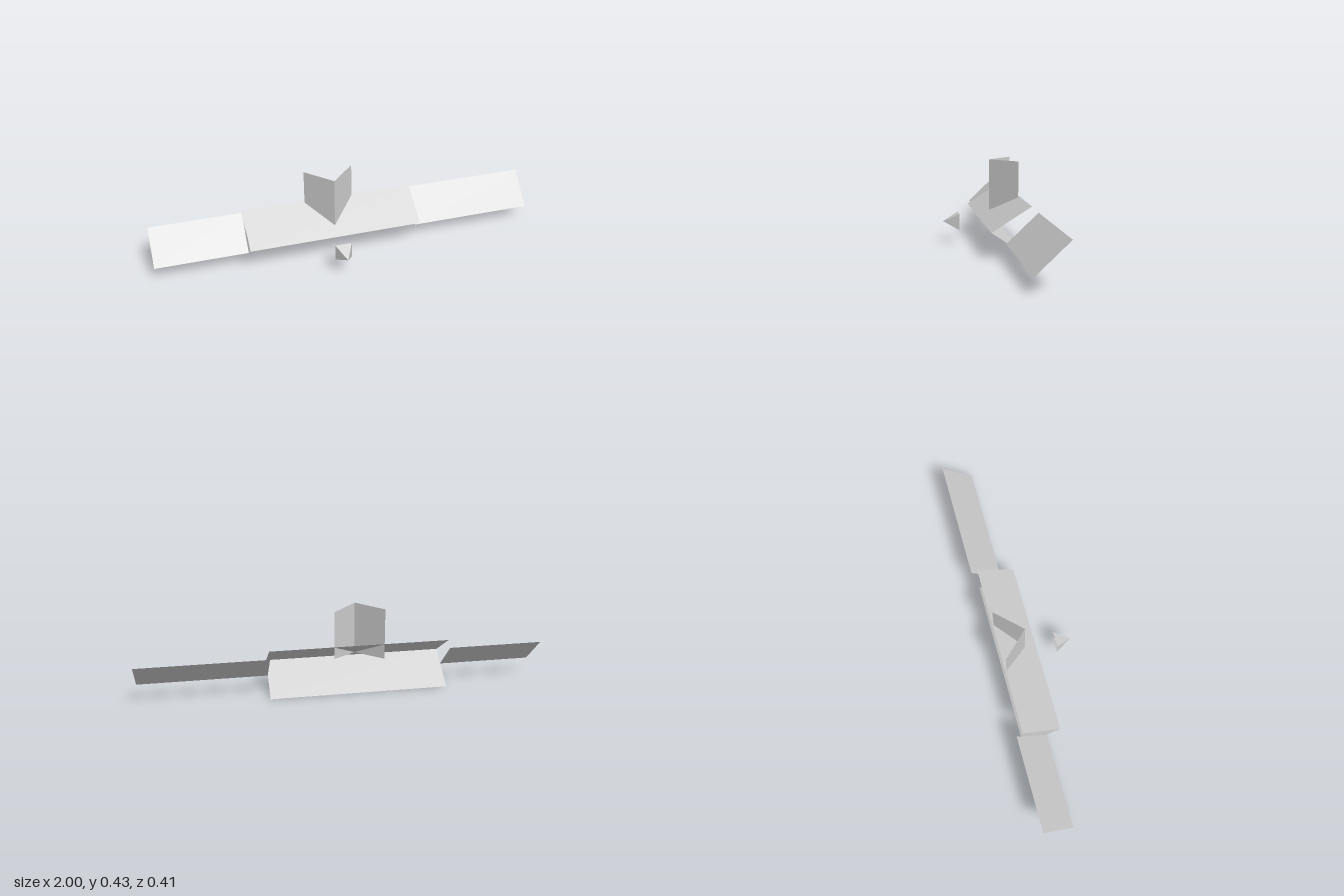
import * as THREE from 'three';

const grey = new THREE.MeshStandardMaterial({ color: 0xcccccc, side: THREE.DoubleSide });
grey.name = 'light grey';

// Thin flat-shaded sheet: a fan over corners given counter-clockwise from outside
function sheet(name, corners) {
  const points = [];
  for (let i = 1; i < corners.length - 1; i++) points.push(...corners[0], ...corners[i], ...corners[i + 1]);
  const geometry = new THREE.BufferGeometry();
  geometry.setAttribute('position', new THREE.Float32BufferAttribute(points, 3));
  geometry.computeVertexNormals();
  const mesh = new THREE.Mesh(geometry, grey);
  mesh.name = name;
  return mesh;
}

// Sheet running along x between a front edge and a back edge, each [y, z]
function panel(name, x0, x1, front, back) {
  return sheet(name, [[x0, ...front], [x1, ...front], [x1, ...back], [x0, ...back]]);
}

export function createModel() {
  const model = new THREE.Group();
  model.name = 'wingedCraft';
  const midX = -0.082;

  // Central wedge, open at the back and the ends
  const nose = [0.13, 0.017];
  model.add(
    panel('upperHull', -0.53, 0.36, nose, [0.25, -0.174]),
    panel('lowerHull', -0.53, 0.36, nose, [0, -0.174]),
  );

  // Tilted outer wings
  for (const [name, x0, x1] of [['rightWing', -1, -0.53], ['leftWing', 0.36, 1]]) {
    model.add(panel(name, x0, x1, [0.075, -0.052], [0.22, -0.205]));
  }

  // Upright V-shaped fin, with slightly uneven lower back corners
  const finTop = 0.427;
  for (const [name, side, low] of [['leftFin', 1, 0.188], ['rightFin', -1, 0.171]]) {
    const backX = midX + side * 0.125;
    const corners = [
      [midX, 0.164, -0.039], [backX, low, -0.168],
      [backX, finTop, -0.168], [midX, finTop, -0.039],
    ];
    model.add(sheet(name, side > 0 ? corners : corners.reverse()));
  }

  // Floating four-sided nose cone, open at the back
  const cone = new THREE.Group();
  cone.name = 'noseCone';
  const tip = [midX, 0.112, 0.2];
  const rim = [[-1, -1], [1, -1], [1, 1], [-1, 1]].map(([x, y]) => [midX + x * 0.042, 0.112 + y * 0.042, 0.12]);
  rim.forEach((corner, i) => cone.add(sheet('coneSide', [corner, rim[(i + 1) % 4], tip])));
  model.add(cone);

  return model;
}
